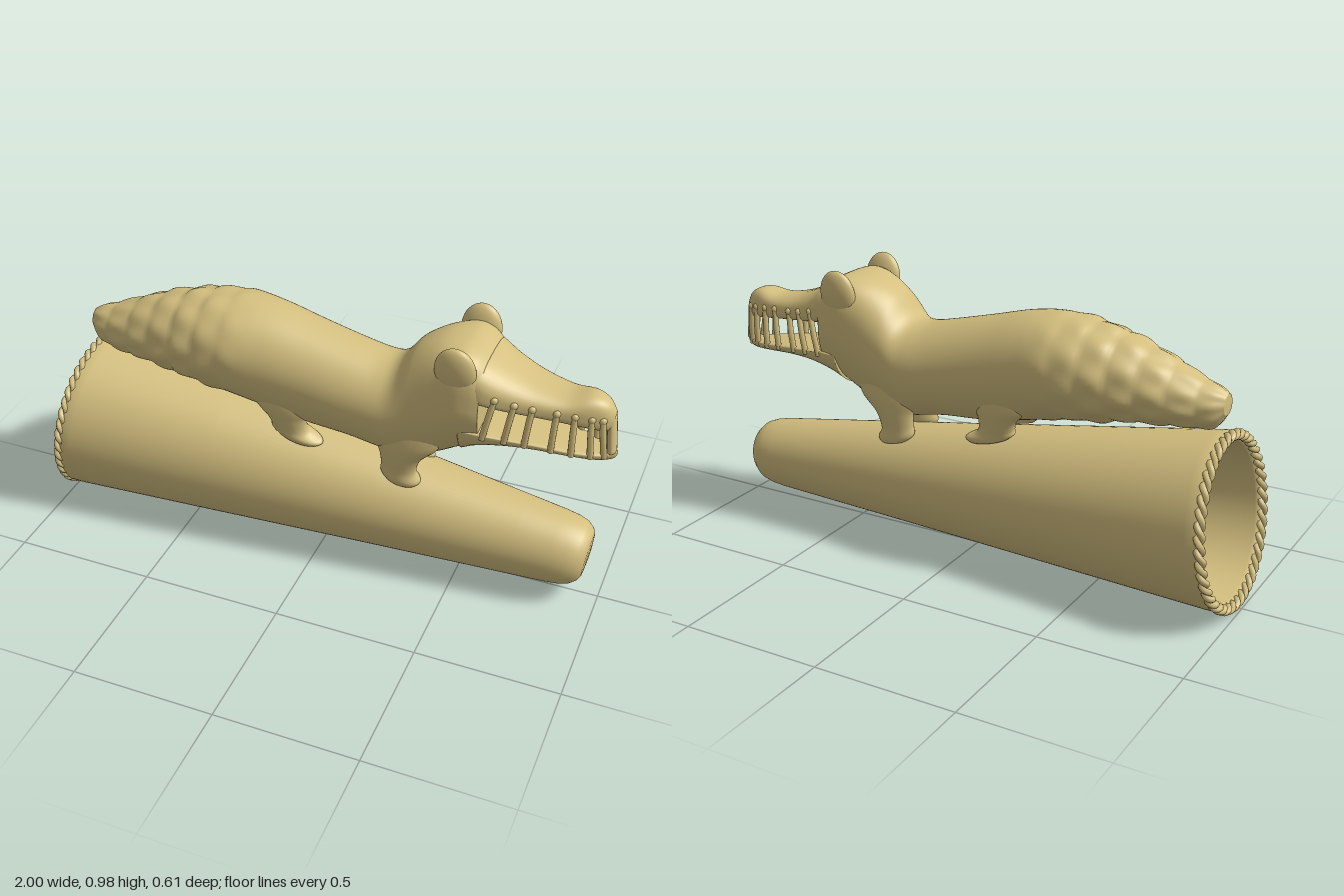
import * as THREE from 'three';

const clay = new THREE.MeshStandardMaterial({ color: 0xd4bf7f });
clay.name = 'sand clay';

// Skin closed loops of points (running towards +x) with a smooth surface.
function skin(rings) {
  const n = rings[0].length, pos = [], idx = [];
  rings.forEach(r => r.forEach(p => pos.push(p.x, p.y, p.z)));
  for (let i = 0; i < rings.length - 1; i++) {
    for (let j = 0; j < n; j++) {
      const a = i * n + j, b = i * n + (j + 1) % n;
      idx.push(a, b, a + n, b, b + n, a + n);
    }
  }
  const g = new THREE.BufferGeometry();
  g.setAttribute('position', new THREE.Float32BufferAttribute(pos, 3));
  g.setIndex(idx);
  g.computeVertexNormals();
  return g;
}

// Smoothly interpolate a table of stations into many rows.
function refine(rows, steps) {
  const out = [], at = i => rows[Math.min(Math.max(i, 0), rows.length - 1)];
  for (let i = 0; i < rows.length - 1; i++) {
    for (let s = 0; s < steps; s++) {
      const t = s / steps;
      out.push(rows[i].map((b, k) => {
        const a = at(i - 1)[k], c = at(i + 1)[k], d = at(i + 2)[k];
        return b + 0.5 * t * (c - a + t * (2 * a - 5 * b + 4 * c - d + t * (3 * (b - c) + d - a)));
      }));
    }
  }
  out.push(rows[rows.length - 1]);
  return out;
}

// Close both ends of a stack of loops.
function capped(rings) {
  const close = r => {
    const c = new THREE.Vector3();
    r.forEach(p => c.addScaledVector(p, 1 / r.length));
    return r.map(() => c.clone());
  };
  return [close(rings[0]), ...rings, close(rings[rings.length - 1])];
}

const superPow = (v, n) => Math.sign(v) * Math.pow(Math.abs(v), 2 / n);

// Stations: x, top, widest height, bottom, half width, upper and lower squareness.
function body(rows, steps, segs, swell = () => 1) {
  return skin(capped(refine(rows, steps).map(([x, top, mid, bot, w, nT, nB]) => {
    const ring = [];
    for (let j = 0; j < segs; j++) {
      const a = j / segs * Math.PI * 2, c = Math.cos(a), s = Math.sin(a);
      const n = c > 0 ? nT : nB, k = swell(x, a);
      const h = c > 0 ? top - mid : mid - bot;
      ring.push(new THREE.Vector3(x, mid + k * h * superPow(c, n), k * w * superPow(s, n)));
    }
    return ring;
  })));
}

// Overlapping rows of scales fading out towards the hips.
function scales(x, a) {
  const fade = THREE.MathUtils.clamp((-0.25 - x) / 0.25, 0, 1);
  const u = (x + 0.92) / 0.095, row = Math.floor(u), f = u - row;
  const wave = Math.sin(Math.PI * Math.pow(f, 0.7));
  return 1 + fade * 0.075 * (wave * (0.6 + 0.4 * Math.cos(9 * a + row * Math.PI)) - 0.45);
}

const BODY = [
  [-0.908, 0.735, 0.695, 0.665, 0.035, 2, 2],
  [-0.87, 0.755, 0.69, 0.615, 0.065, 2, 2],
  [-0.8, 0.78, 0.69, 0.605, 0.095, 2, 2],
  [-0.7, 0.825, 0.7, 0.6, 0.125, 2, 2],
  [-0.58, 0.87, 0.715, 0.587, 0.152, 2, 2],
  [-0.45, 0.903, 0.73, 0.565, 0.178, 2, 2],
  [-0.32, 0.915, 0.74, 0.545, 0.186, 2, 2],
  [-0.2, 0.902, 0.72, 0.52, 0.175, 2, 2],
  [-0.05, 0.863, 0.69, 0.492, 0.166, 2, 2],
  [0.1, 0.825, 0.66, 0.48, 0.164, 2, 2],
  [0.2, 0.805, 0.65, 0.462, 0.165, 2, 2],
  [0.26, 0.82, 0.66, 0.45, 0.163, 2, 2],
  [0.32, 0.89, 0.69, 0.45, 0.16, 2.3, 1.9],
  [0.4, 0.935, 0.73, 0.48, 0.163, 3, 1.9],
  [0.48, 0.947, 0.76, 0.527, 0.168, 4, 1.9],
  [0.53, 0.935, 0.76, 0.556, 0.162, 4, 1.9],
  [0.565, 0.912, 0.75, 0.572, 0.152, 3.5, 2],
];
const UPPER_JAW = [
  [0.5, 0.935, 0.83, 0.77, 0.15, 3.5, 3],
  [0.56, 0.912, 0.81, 0.768, 0.153, 3, 3],
  [0.63, 0.875, 0.79, 0.757, 0.135, 2.6, 3],
  [0.72, 0.838, 0.775, 0.745, 0.11, 2.6, 3],
  [0.82, 0.818, 0.765, 0.73, 0.085, 2.8, 3],
  [0.9, 0.83, 0.755, 0.718, 0.065, 2.8, 3],
  [0.95, 0.813, 0.75, 0.71, 0.045, 2.6, 3],
  [0.978, 0.778, 0.74, 0.71, 0.022, 2, 2],
];
const LOWER_JAW = [
  [0.5, 0.675, 0.665, 0.535, 0.145, 3, 1.9],
  [0.56, 0.675, 0.667, 0.57, 0.146, 3, 1.9],
  [0.65, 0.663, 0.655, 0.593, 0.124, 3, 1.9],
  [0.75, 0.652, 0.643, 0.599, 0.1, 3, 1.9],
  [0.86, 0.638, 0.628, 0.594, 0.075, 3, 1.9],
  [0.94, 0.63, 0.62, 0.59, 0.048, 3, 1.9],
  [0.985, 0.63, 0.62, 0.597, 0.018, 2, 1.9],
  [0.998, 0.632, 0.625, 0.615, 0.003, 2, 2],
];

// Leg stations from the foot up: y, x, half length, z, half width; soles slope with the cone.
function leg(rows) {
  return skin(capped(refine(rows, 6).map(([y, x, rx, z, rz, slope]) => {
    const ring = [];
    for (let j = 0; j < 28; j++) {
      const a = -j / 28 * Math.PI * 2, dx = rx * Math.cos(a), dz = rz * Math.sin(a);
      ring.push(new THREE.Vector3(x + dx, y - slope * (dx + 1.2 * dz), z + dz));
    }
    return ring;
  })));
}
const FRONT_LEG = [
  [0.372, 0.292, 0.06, 0.08, 0.036, 0.17],
  [0.39, 0.29, 0.072, 0.08, 0.041, 0.17],
  [0.425, 0.283, 0.063, 0.082, 0.041, 0.14],
  [0.48, 0.29, 0.075, 0.088, 0.045, 0.05],
  [0.54, 0.31, 0.115, 0.088, 0.052, 0],
  [0.63, 0.32, 0.13, 0.085, 0.05, 0],
];
const REAR_LEG = [
  [0.45, -0.09, 0.08, 0.08, 0.036, 0.22],
  [0.465, -0.094, 0.095, 0.08, 0.041, 0.2],
  [0.49, -0.118, 0.07, 0.082, 0.042, 0.17],
  [0.53, -0.128, 0.072, 0.09, 0.045, 0.05],
  [0.58, -0.14, 0.1, 0.095, 0.05, 0],
  [0.66, -0.15, 0.11, 0.095, 0.05, 0],
];

// Value of one column of a station table at x.
function lookup(rows, x, k) {
  const i = Math.max(1, rows.findIndex(r => r[0] >= x));
  const [a, b] = [rows[i - 1], rows[i]];
  return THREE.MathUtils.lerp(a[k], b[k], (x - a[0]) / (b[0] - a[0]));
}

// Hollow tapered cup: inner wall from its end to the rim, then the outer wall to the tip.
const TILT = 0.12;
const axisY = x => 0.303 - 0.0696 * (x + 0.945);
function cup() {
  const profile = [
    [0.88, 0], [0.88, 0.06], [0.84, 0.1], [-0.93, 0.262], [-0.945, 0.27], [-0.947, 0.288],
    [-0.935, 0.294], [-0.9, 0.293], [-0.4, 0.246], [0.2, 0.189], [0.7, 0.143], [0.83, 0.131],
    [0.88, 0.124], [0.915, 0.113], [0.938, 0.095], [0.948, 0.075], [0.951, 0.04], [0.952, 0],
  ];
  return skin(profile.map(([x, r]) => {
    const ring = [];
    for (let j = 0; j < 72; j++) {
      const a = j / 72 * Math.PI * 2, y = r * Math.cos(a);
      ring.push(new THREE.Vector3(x + TILT * y, axisY(x) + y, r * Math.sin(a)));
    }
    return ring;
  }));
}

// One strand of the twisted rope around the rim.
function ropeStrand(phase) {
  const pts = [];
  for (let i = 0; i < 352; i++) {
    const a = i / 352 * Math.PI * 2, b = a * 22 + phase;
    const r = 0.283 + 0.009 * Math.cos(b), y = r * Math.cos(a);
    pts.push(new THREE.Vector3(-0.947 + TILT * y + 0.009 * Math.sin(b), 0.303 + y, r * Math.sin(a)));
  }
  return new THREE.TubeGeometry(new THREE.CatmullRomCurve3(pts, true), 528, 0.011, 7, true);
}

export function createModel() {
  const model = new THREE.Group();
  model.name = 'crocodileOnCup';
  const add = (name, geometry) => {
    const m = new THREE.Mesh(geometry, clay);
    m.name = name;
    model.add(m);
    return m;
  };

  add('cup', cup());
  add('rimRopeA', ropeStrand(0));
  add('rimRopeB', ropeStrand(Math.PI));

  add('bodyAndTail', body(BODY, 10, 72, scales));
  add('upperJaw', body(UPPER_JAW, 6, 40));
  add('lowerJaw', body(LOWER_JAW, 6, 40));

  // Mirrored parts
  for (const side of [1, -1]) {
    const tag = side > 0 ? 'A' : 'B';
    for (const [name, rows] of [['frontLeg', FRONT_LEG], ['rearLeg', REAR_LEG]]) {
      const g = leg(rows);
      if (side < 0) g.rotateY(Math.PI).scale(-1, 1, 1);
      if (side < 0) {
        const ix = g.index.array;
        for (let i = 0; i < ix.length; i += 3) [ix[i], ix[i + 1]] = [ix[i + 1], ix[i]];
        g.computeVertexNormals();
      }
      add(name + tag, g);
    }

    const brow = add('brow' + tag, new THREE.SphereGeometry(1, 28, 20));
    brow.scale.set(0.07, 0.088, 0.032);
    brow.position.set(0.48, 0.893, side * 0.142);
    brow.rotation.x = side * 0.12;

    // Teeth bridging the jaws
    [0.595, 0.66, 0.72, 0.8, 0.86, 0.915, 0.952].forEach((x, i) => {
      const lean = 0.016 - i * 0.004;
      const at = (jaw, px, y) => new THREE.Vector3(px, y, side * (lookup(jaw, px, 4) - 0.006));
      const low = at(LOWER_JAW, x - lean, lookup(LOWER_JAW, x, 2) - 0.01);
      const high = at(UPPER_JAW, x + lean, lookup(UPPER_JAW, x, 2) + 0.01);
      const mid = low.clone().lerp(high, 0.5);
      mid.z += side * 0.004;
      add('tooth' + tag + i, new THREE.TubeGeometry(new THREE.CatmullRomCurve3([low, mid, high]), 8, 0.011, 10));
      const tip = add('toothRoot' + tag + i, new THREE.SphereGeometry(0.014, 12, 8));
      tip.position.copy(high);
    });
  }

  // Solid front of the snout
  const beak = add('snoutTip', new THREE.CapsuleGeometry(0.016, 0.12, 6, 16));
  beak.scale.z = 1.9;
  beak.position.set(0.972, 0.692, 0);
  beak.rotation.z = 0.1;

  return model;
}
